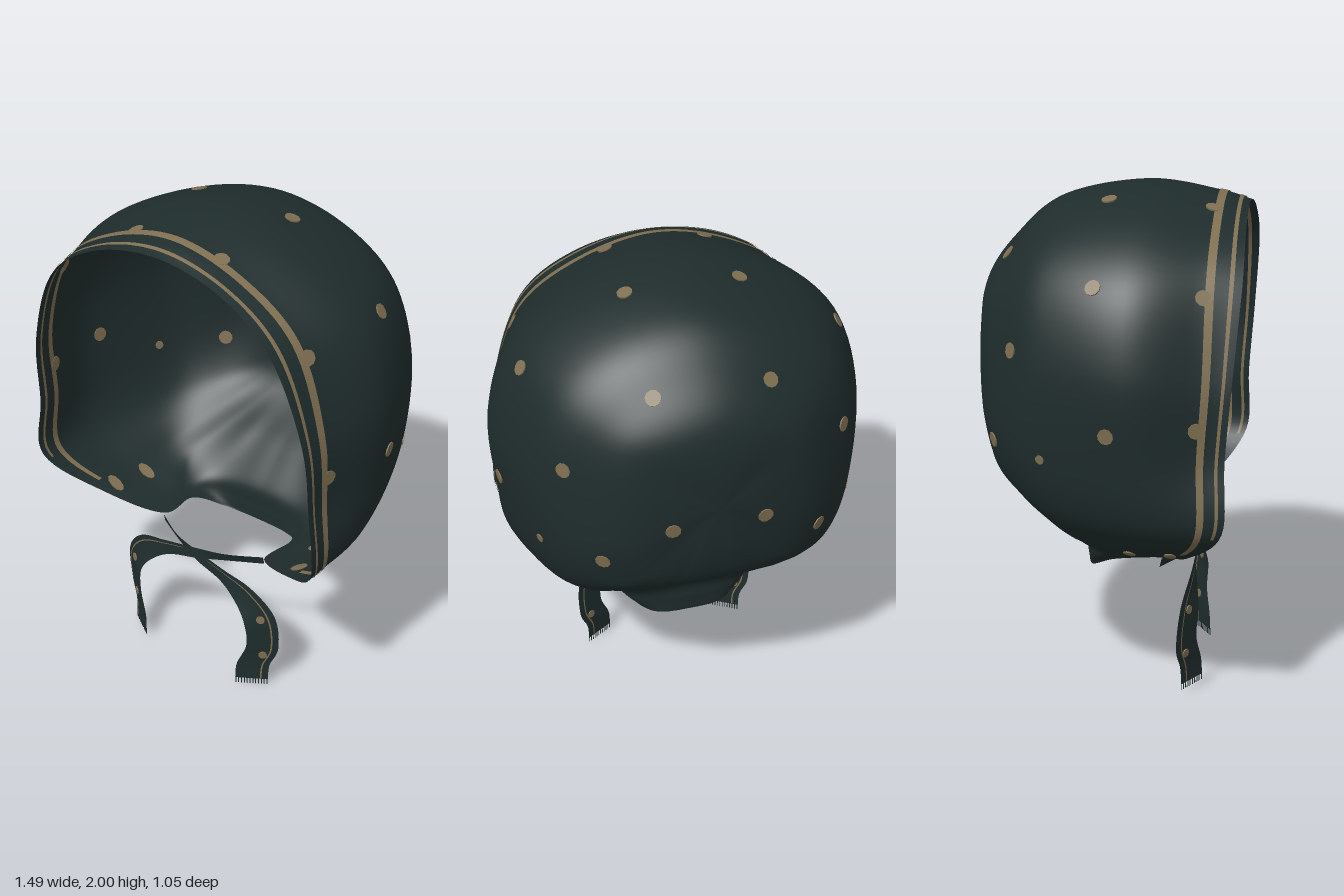
import * as THREE from 'three';
import { mergeVertices } from 'three/addons/utils/BufferGeometryUtils.js';

const fabric = new THREE.MeshStandardMaterial({ name: 'dark green fabric', color: 0x1f2c2c, side: THREE.DoubleSide });
const tan = new THREE.MeshStandardMaterial({ name: 'tan print', color: 0x7f6f52, side: THREE.DoubleSide });

// Half loops (x >= 0) from top centre, down the side, to the bottom centre.
const rim = [[0, 1.925, .515], [.3, 1.865, .52], [.52, 1.7, .525], [.645, 1.38, .505], [.668, 1.08, .485],
  [.68, .81, .48], [.48, .635, .34], [.265, .55, .215], [.26, .53, .03], [.16, .465, -.08], [0, .455, -.1]];
const band = [[0, 1.962, .4], [.31, 1.885, .4], [.55, 1.71, .4], [.665, 1.38, .4], [.672, 1.08, .385],
  [.675, .805, .385], [.48, .64, .29], [.28, .553, .17], [.265, .535, .02], [.165, .475, -.083], [0, .467, -.101]];
const crown = [[0, 2, .12], [.36, 1.915, .12], [.63, 1.72, .12], [.738, 1.42, .12], [.725, 1.08, .13],
  [.67, .81, .15], [.49, .655, .12], [.32, .575, .06], [.285, .56, -.02], [.18, .525, -.09], [0, .52, -.105]];
const middle = [[0, 1.94, -.2], [.31, 1.87, -.2], [.54, 1.7, -.2], [.64, 1.42, -.2], [.63, 1.08, -.2],
  [.58, .84, -.16], [.47, .7, -.11], [.37, .64, -.09], [.27, .62, -.11], [.14, .61, -.12], [0, .61, -.12]];
const rear = [[0, 1.8, -.38], [.23, 1.75, -.38], [.41, 1.62, -.38], [.505, 1.4, -.36], [.51, 1.1, -.36],
  [.46, .89, -.33], [.37, .79, -.28], [.28, .76, -.26], [.19, .75, -.25], [.1, .745, -.25], [0, .745, -.25]];
const inner = [[0, 1.6, -.51], [.14, 1.575, -.505], [.26, 1.51, -.49], [.31, 1.36, -.487], [.32, 1.15, -.48],
  [.28, .99, -.46], [.21, .955, -.46], [.15, .945, -.462], [.11, .94, -.465], [.06, .94, -.468], [0, .94, -.468]];
const pole = rim.map(() => [0, 1.28, -.52]);

const HALF = rim.length - 1, N = HALF * 2;
const rows = [rim, band, crown, middle, rear, inner, pole].map(half =>
  [...half, ...half.slice(1, -1).reverse().map(([x, y, z]) => [-x, y, z])]);
const LAST = rows.length - 1;

const catmull = (a, b, c, d, t) => b.map((_, k) => b[k] + .5 * t * (c[k] - a[k]
  + t * (2 * a[k] - 5 * b[k] + 4 * c[k] - d[k] + t * (3 * (b[k] - c[k]) + d[k] - a[k]))));

function loopPoint(row, u) {
  const i = Math.floor(u), p = k => row[(((i + k) % N) + N) % N];
  return catmull(p(-1), p(0), p(1), p(2), u - i);
}

// Hood surface: u runs around the opening, v from the rim to the back.
function hoodPoint(u, v) {
  const j = Math.min(Math.floor(v), LAST - 1);
  const b = loopPoint(rows[j], u), c = loopPoint(rows[j + 1], u);
  const a = j > 0 ? loopPoint(rows[j - 1], u) : b.map((x, k) => 2 * x - c[k]);
  const d = j + 2 <= LAST ? loopPoint(rows[j + 2], u) : loopPoint(rows[LAST - 1], u + HALF);
  const p = new THREE.Vector3(...catmull(a, b, c, d, v - j));
  // soft gathers fanning out of the neck
  const around = Math.min(u, N - u);
  const w = THREE.MathUtils.smoothstep(around, 5.5, 7) * Math.sin(Math.PI * THREE.MathUtils.clamp((v - 1) / 3.5, 0, 1));
  const f = .018 * w * Math.sin(around * 4.5);
  p.x *= 1 + f;
  p.z *= 1 + f * .5;
  return p;
}

// Grid of points given by fn(s, t), both 0..1
function sheet(fn, ns, nt) {
  const pos = [], index = [];
  for (let j = 0; j <= nt; j++) for (let i = 0; i <= ns; i++) pos.push(...fn(i / ns, j / nt).toArray());
  for (let j = 0; j < nt; j++) for (let i = 0; i < ns; i++) {
    const a = j * (ns + 1) + i, b = a + ns + 1;
    index.push(a, b, a + 1, a + 1, b, b + 1);
  }
  let g = new THREE.BufferGeometry();
  g.setAttribute('position', new THREE.Float32BufferAttribute(pos, 3));
  g.setIndex(index);
  g = mergeVertices(g, 1e-5);
  g.computeVertexNormals();
  return g;
}

function add(parent, name, geometry, material) {
  const m = new THREE.Mesh(geometry, material);
  m.name = name;
  parent.add(m);
  return m;
}

function hoodOffset(u, v, d) {
  const p = hoodPoint(u, v), e = .01;
  const du = hoodPoint(u + e, v).sub(p), dv = hoodPoint(u, v + e).sub(p);
  return p.addScaledVector(du.cross(dv).normalize(), d);
}

// Thin disc laid into the cloth where a ray meets it
function addDot(parent, target, origin, direction, radius = .03, stretch = 1) {
  const ray = new THREE.Raycaster(new THREE.Vector3(...origin), new THREE.Vector3(...direction));
  const hit = ray.intersectObject(target)[0];
  if (!hit) return;
  const dot = add(parent, 'dot', new THREE.CylinderGeometry(radius, radius, .009, 10), tan);
  dot.position.copy(hit.point);
  dot.quaternion.setFromUnitVectors(new THREE.Vector3(0, 1, 0), hit.face.normal);
  dot.scale.x = stretch;
}

// Tie stations: centre, then half-width vector
const tiePath = [[-.265, .525, .21, 0, .018, .004], [-.13, .52, .28, 0, .02, .008], [0, .505, .315, .004, .024, 0],
  [.14, .48, .33, .012, .03, 0], [.25, .435, .335, .035, .04, -.01], [.325, .34, .325, .056, .02, -.03],
  [.335, .2, .315, .055, -.005, -.035], [.3, .1, .33, .057, 0, -.036], [.295, .025, .335, .057, 0, -.036]];

function tiePoint(s, across, lift = 0) {
  const f = Math.min(s, .99999) * (tiePath.length - 1), i = Math.floor(f);
  const p = k => tiePath[Math.min(Math.max(i + k, 0), tiePath.length - 1)];
  const q = catmull(p(-1), p(0), p(1), p(2), f - i);
  return new THREE.Vector3(q[0] + across * q[3] + lift * .5, q[1] + across * q[4], q[2] + across * q[5] + lift);
}

function makeTie(name) {
  const tie = new THREE.Group();
  tie.name = name;
  const ribbon = add(tie, 'ribbon', sheet((s, t) => tiePoint(s, t * 2 - 1), 48, 6), fabric);
  for (const lift of [-.004, .004])
    add(tie, 'ribbonStripe', sheet((s, t) => tiePoint(.3 + s * .68, .52 + t * .1, lift), 40, 1), tan);
  for (const [x, y] of [[.33, .34], [.335, .155]]) addDot(tie, ribbon, [x, y, 2], [0, 0, -1], .018);
  // frayed end
  for (let k = 0; k < 12; k++) {
    const thread = add(tie, 'fringe', new THREE.BoxGeometry(.003, .03, .003), fabric);
    thread.position.copy(tiePoint(1, -.96 + k * .174)).y = .015;
  }
  return tie;
}

export function createModel() {
  const model = new THREE.Group();
  model.name = 'tiedHeadscarf';

  const hood = add(model, 'hood', sheet((s, t) => hoodPoint(s * N, t * LAST), N * 8, LAST * 9), fabric);

  // Two printed stripes beside the rim, on both faces of the cloth
  for (const [v0, v1, end] of [[.28, .44, 5.1], [.85, 1.02, 5.8]]) for (const d of [-.004, .004])
    add(model, 'rimStripe', sheet((s, t) => hoodOffset((s * 2 - 1) * end + N, v0 + t * (v1 - v0), d), 100, 2), tan);

  // Printed dots, mirrored left and right
  const dots = new THREE.Group();
  dots.name = 'dots';
  model.add(dots);
  for (const side of [-1, 1]) {
    for (const [x, z] of [[.22, -.39], [.22, 0], [.2, .39], [.58, .39]])
      addDot(dots, hood, [side * x, 3, z], [0, -1, 0]);
    for (const [z, y] of [[0, 1.7], [.06, 1.18], [.38, 1.2], [-.32, 1.44]])
      addDot(dots, hood, [side * 3, y, z], [-side, 0, 0]);
    addDot(dots, hood, [side * 3, 1.05, -.2], [-side, 0, 0], .018);
    for (const [z, y] of [[.11, .63], [.27, .64]])
      addDot(dots, hood, [side * 3, y, z], [-side, 0, 0], .024, 1.8);
    for (const [x, y] of [[.18, 1.22], [.43, 1.06]])
      addDot(dots, hood, [side * x, y, -3], [0, 0, 1]);
  }

  // Ties crossing under the chin
  model.add(makeTie('leftTie'));
  const right = makeTie('rightTie');
  right.scale.x = -1;
  right.position.set(0, .02, .008);
  model.add(right);
  return model;
}
